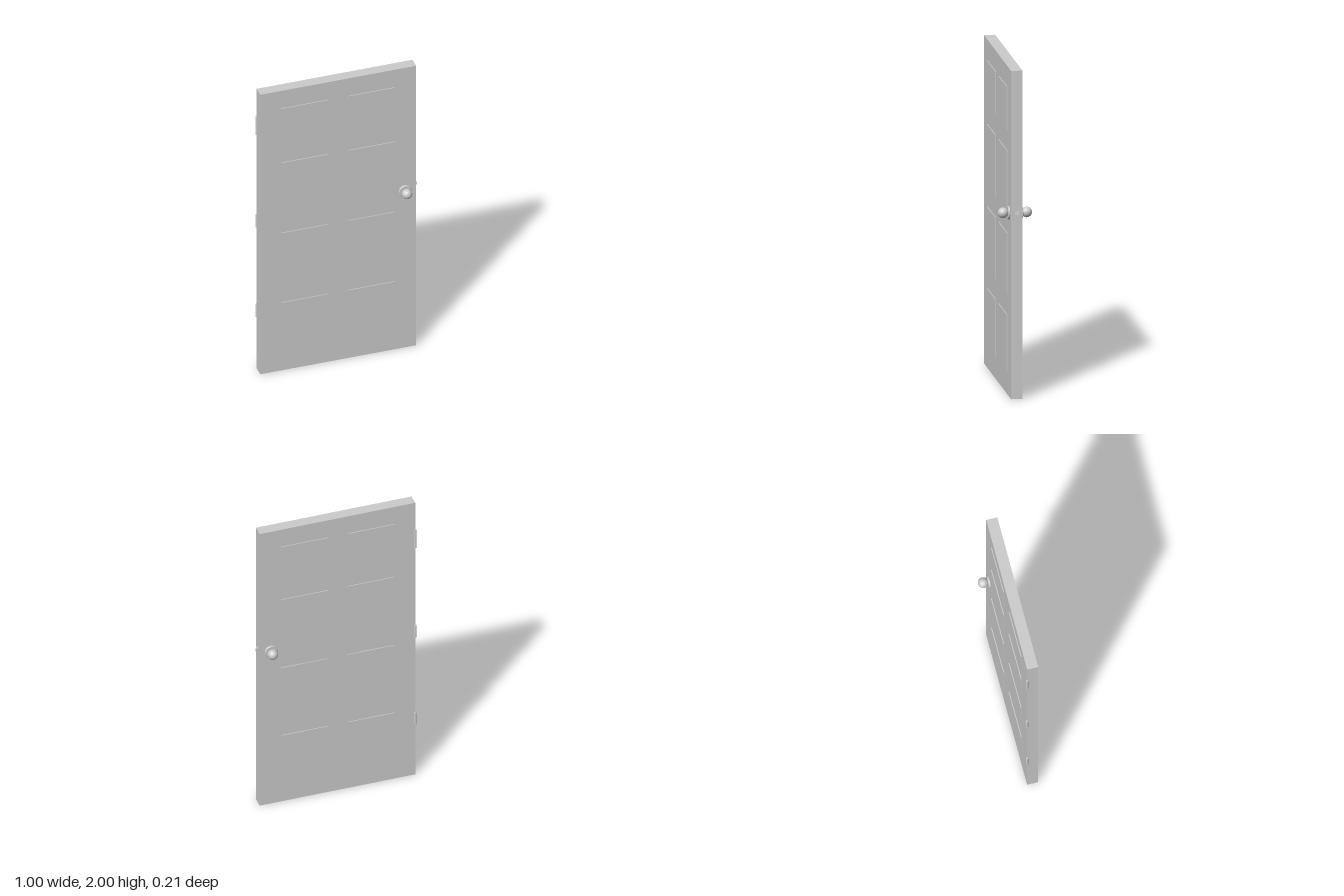
import * as THREE from 'three';

export function createModel() {
  const door = new THREE.Group();
  door.name = 'door';
  const material = new THREE.MeshStandardMaterial({ color: 0xcccccc });

  const add = (name, geometry, x, y, z, parent = door) => {
    const mesh = new THREE.Mesh(geometry, material);
    mesh.name = name;
    mesh.position.set(x, y, z);
    parent.add(mesh);
    return mesh;
  };
  // Box from its minimum and maximum corners
  const addBox = (name, [x0, y0, z0], [x1, y1, z1]) =>
    add(name, new THREE.BoxGeometry(x1 - x0, y1 - y0, z1 - z0),
      (x0 + x1) / 2, (y0 + y1) / 2, (z0 + z1) / 2);

  // Door slab
  const back = -0.032, front = 0.036;
  addBox('slab', [-0.495, 0, back], [0.482, 2, front]);

  // Eight raised panels, standing proud on both faces
  const columns = [[-0.365, -0.07], [0.055, 0.35]];
  const rows = [[0.135, 0.487], [0.608, 0.985], [1.11, 1.487], [1.61, 1.875]];
  for (const [x0, x1] of columns) {
    for (const [y0, y1] of rows) {
      addBox('panel', [x0, y0, back - 0.005], [x1, y1, front + 0.005]);
    }
  }

  // Knob on each face: rosette, neck and ball
  const knobProfile = [[0, 0], [0.04, 0], [0.04, 0.008], [0.036, 0.011], [0.014, 0.011], [0.014, 0.02]]
    .map(([r, h]) => new THREE.Vector2(r, h));
  for (const side of [1, -1]) {
    const knob = new THREE.Group();
    knob.name = side > 0 ? 'frontKnob' : 'backKnob';
    knob.position.set(0.412, 1.122, side > 0 ? front : back);
    knob.rotation.x = side * Math.PI / 2;
    door.add(knob);
    // Doubled points keep the rosette's edges sharp
    const sharp = knobProfile.slice(1).map((p, i) => [knobProfile[i], p]);
    for (const pair of sharp) add('rosette', new THREE.LatheGeometry(pair, 32), 0, 0, 0, knob);
    add('ball', new THREE.SphereGeometry(0.032, 32, 20), 0, 0.037, 0, knob);
  }

  // Latch bolt with a slanted front side
  const bolt = new THREE.Shape([[0.47, -0.012], [0.484, -0.012], [0.5, 0.009], [0.47, 0.009]]
    .map(([x, y]) => new THREE.Vector2(x, y)));
  const boltGeometry = new THREE.ExtrudeGeometry(bolt, { depth: 0.021, bevelEnabled: false });
  boltGeometry.rotateX(-Math.PI / 2);
  add('latch', boltGeometry, 0, 1.123, 0);

  // Hinge barrels along the back edge
  for (const [y0, y1] of [[0.37, 0.46], [1.01, 1.1], [1.672, 1.804]]) {
    add('hinge', new THREE.CylinderGeometry(0.0075, 0.0075, y1 - y0, 16), -0.4945, (y0 + y1) / 2, -0.0325);
  }

  return door;
}
